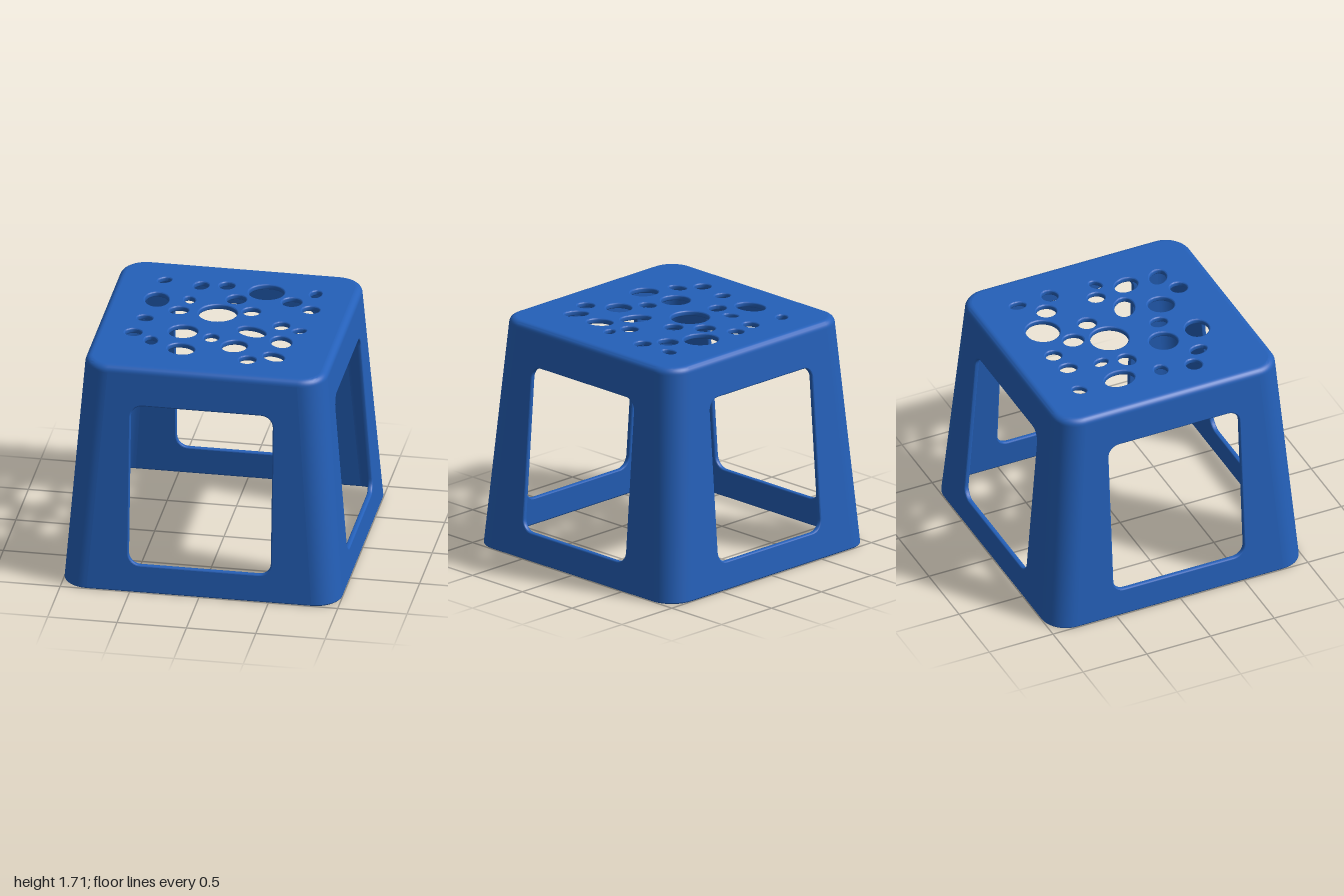
import * as THREE from 'three';
import { toCreasedNormals } from 'three/addons/utils/BufferGeometryUtils.js';

const T = 0.036;              // wall thickness
const R = 0.19;               // plan corner radius
const E = 0.01;               // softened edge radius
const TOP = 1.705, FILLET = 0.05, UNDER = TOP - 0.04;
const Y0 = E, Y1 = TOP - FILLET;
const half = (y) => 1 - 0.077 * y;   // outer half width at height y
const V = (x, y, z) => new THREE.Vector3(x, y, z);

// Seat holes: x, z, radius, radius, turn in degrees
const HOLES = [
  [-0.53, -0.57, 0.052, 0.04, -45], [-0.26, -0.53, 0.052, 0.063, 10], [-0.08, -0.56, 0.055, 0.058, 0],
  [0.215, -0.505, 0.126, 0.121, 0], [0.565, -0.535, 0.04, 0.058, 5], [0.42, -0.38, 0.07, 0.072, 0],
  [0.025, -0.355, 0.07, 0.075, 0], [-0.53, -0.255, 0.085, 0.115, -10], [-0.3, -0.29, 0.038, 0.055, -20],
  [-0.345, -0.11, 0.068, 0.06, -20], [-0.065, -0.115, 0.137, 0.137, 0], [0.165, -0.18, 0.063, 0.066, 0],
  [0.575, -0.28, 0.062, 0.058, 0], [0.415, 0.01, 0.057, 0.062, 0], [0.555, 0.07, 0.05, 0.037, -30],
  [-0.56, 0.055, 0.056, 0.048, 15], [-0.255, 0.22, 0.103, 0.103, 0], [0.225, 0.14, 0.112, 0.072, 27],
  [0.46, 0.265, 0.072, 0.095, -25], [-0.6, 0.295, 0.06, 0.058, 0], [-0.455, 0.4, 0.045, 0.066, -15],
  [-0.04, 0.285, 0.052, 0.063, -10], [0.145, 0.39, 0.09, 0.095, 15], [-0.22, 0.5, 0.1, 0.086, 25],
  [0.45, 0.51, 0.086, 0.06, 35], [0.275, 0.59, 0.06, 0.062, 0],
];

// Skin between successive rings of points
function loft(rings, closed = true) {
  const n = rings[0].length, index = [];
  for (let i = 0; i < rings.length - 1; i++) {
    for (let j = 0; j < (closed ? n : n - 1); j++) {
      const k = (j + 1) % n, a = i * n, b = a + n;
      index.push(a + j, b + j, a + k, b + j, b + k, a + k);
    }
  }
  const g = new THREE.BufferGeometry().setFromPoints(rings.flat());
  g.setIndex(index);
  return toCreasedNormals(g, 0.6);
}

// 2D rounded rectangle, one arc per corner
function roundRect(hx, hy, r, n = 12) {
  const pts = [];
  for (let k = 0; k < 4; k++) {
    const sx = k === 0 || k === 3 ? 1 : -1, sy = k < 2 ? 1 : -1;
    for (let i = 0; i <= n; i++) {
      const a = (k + i / n) * Math.PI / 2;
      pts.push(new THREE.Vector2(sx * (hx - r) + r * Math.cos(a), sy * (hy - r) + r * Math.sin(a)));
    }
  }
  return pts;
}

// Horizontal ring of the shell at height y, moved inward by inset
const ring = (h, inset, y) =>
  roundRect(h - inset, h - inset, R - inset).map((p) => V(p.x, y, p.y));

function ellipse([x, z, a, b, deg], grow) {
  const t = deg * Math.PI / 180;
  return new THREE.EllipseCurve(x, z, a + grow, b + grow, 0, Math.PI * 2, false, t).getPoints(36).slice(0, -1);
}

const windowOutline = (grow) =>
  roundRect(0.512 + grow, 0.604 + grow, 0.085 + grow, 8).map((p) => p.add(new THREE.Vector2(0, 0.812)));

// Rounded rim profile through a plate: [grow, depth]
function rimProfile(depth) {
  const out = [];
  for (let i = 0; i <= 3; i++) {
    const a = i / 3 * Math.PI / 2;
    out.push([E * (1 - Math.sin(a)), E * (1 - Math.cos(a))]);
  }
  return [...out, ...out.slice().reverse().map(([g, d]) => [g, depth - d])];
}

// Sloping wall face with a window; inner faces look the other way
function wallFace(inner) {
  const off = inner ? T : 0, y1 = inner ? UNDER : Y1;
  const w0 = half(Y0) - R, w1 = half(y1) - R;
  const shape = new THREE.Shape([[-w0, Y0], [w0, Y0], [w1, y1], [-w1, y1]].map((p) => new THREE.Vector2(...p)));
  shape.holes.push(new THREE.Path(windowOutline(E)));
  const g = new THREE.ShapeGeometry(shape);
  if (inner) g.rotateY(Math.PI);
  const p = g.attributes.position;
  for (let i = 0; i < p.count; i++) p.setZ(i, half(p.getY(i)) - off);
  g.computeVertexNormals();
  return g;
}

// Flat seat face with holes, facing up (side 1) or down (side -1)
function seatFace(side, h, inset, y) {
  const flip = (pts) => pts.map((p) => new THREE.Vector2(p.x, -side * p.y));
  const shape = new THREE.Shape(flip(roundRect(h - inset, h - inset, R - inset)));
  for (const hole of HOLES) shape.holes.push(new THREE.Path(flip(ellipse(hole, E))));
  return new THREE.ShapeGeometry(shape).rotateX(-side * Math.PI / 2).translate(0, y, 0);
}

export function createModel() {
  const blue = new THREE.MeshStandardMaterial({ color: 0x2460b9 });
  blue.name = 'blue plastic';
  const model = new THREE.Group();
  model.name = 'stool';
  const add = (name, geometry, parent = model) => {
    const m = new THREE.Mesh(geometry, blue);
    m.name = name;
    parent.add(m);
    return m;
  };

  // Four walls, each with a rounded window
  for (let k = 0; k < 4; k++) {
    const wall = new THREE.Group();
    wall.name = ['front', 'left', 'back', 'right'][k] + 'Wall';
    wall.rotation.y = k * Math.PI / 2;
    add('outerFace', wallFace(false), wall);
    add('innerFace', wallFace(true), wall);
    const rim = rimProfile(T).reverse().map(([g, d]) =>
      windowOutline(g).map((p) => V(p.x, p.y, half(p.y) - d)));
    add('windowRim', loft(rim), wall);
    model.add(wall);
  }

  // Rounded corner legs, outside and inside
  const outer = [ring(half(Y0), 0, Y0), ring(half(Y1), 0, Y1)];
  const inner = [ring(half(UNDER), T, UNDER), ring(half(Y0), T, Y0)];
  for (let k = 0; k < 4; k++) {
    const corner = (rings) => loft(rings.map((r) => r.slice(k * 13, k * 13 + 13)), false);
    add('cornerLegOutside', corner(outer));
    add('cornerLegInside', corner(inner));
  }

  // Softened bottom edge
  const lip = rimProfile(T).reverse().map(([g, d]) => ring(half(Y0), d, g));
  add('bottomEdge', loft(lip));

  // Rounded shoulder from walls to seat
  const shoulder = [];
  for (let i = 0; i <= 8; i++) {
    const a = i / 8 * Math.PI / 2;
    shoulder.push(ring(half(Y1), FILLET * (1 - Math.cos(a)), Y1 + FILLET * Math.sin(a)));
  }
  add('seatShoulder', loft(shoulder));

  // Seat plate and the rims of its holes
  add('seatTop', seatFace(1, half(Y1), FILLET, TOP));
  add('seatUnderside', seatFace(-1, half(UNDER), T, UNDER));
  for (const hole of HOLES) {
    const rim = rimProfile(TOP - UNDER).map(([g, d]) =>
      ellipse(hole, g).map((p) => V(p.x, TOP - d, p.y)));
    add('seatHoleRim', loft(rim));
  }
  return model;
}
